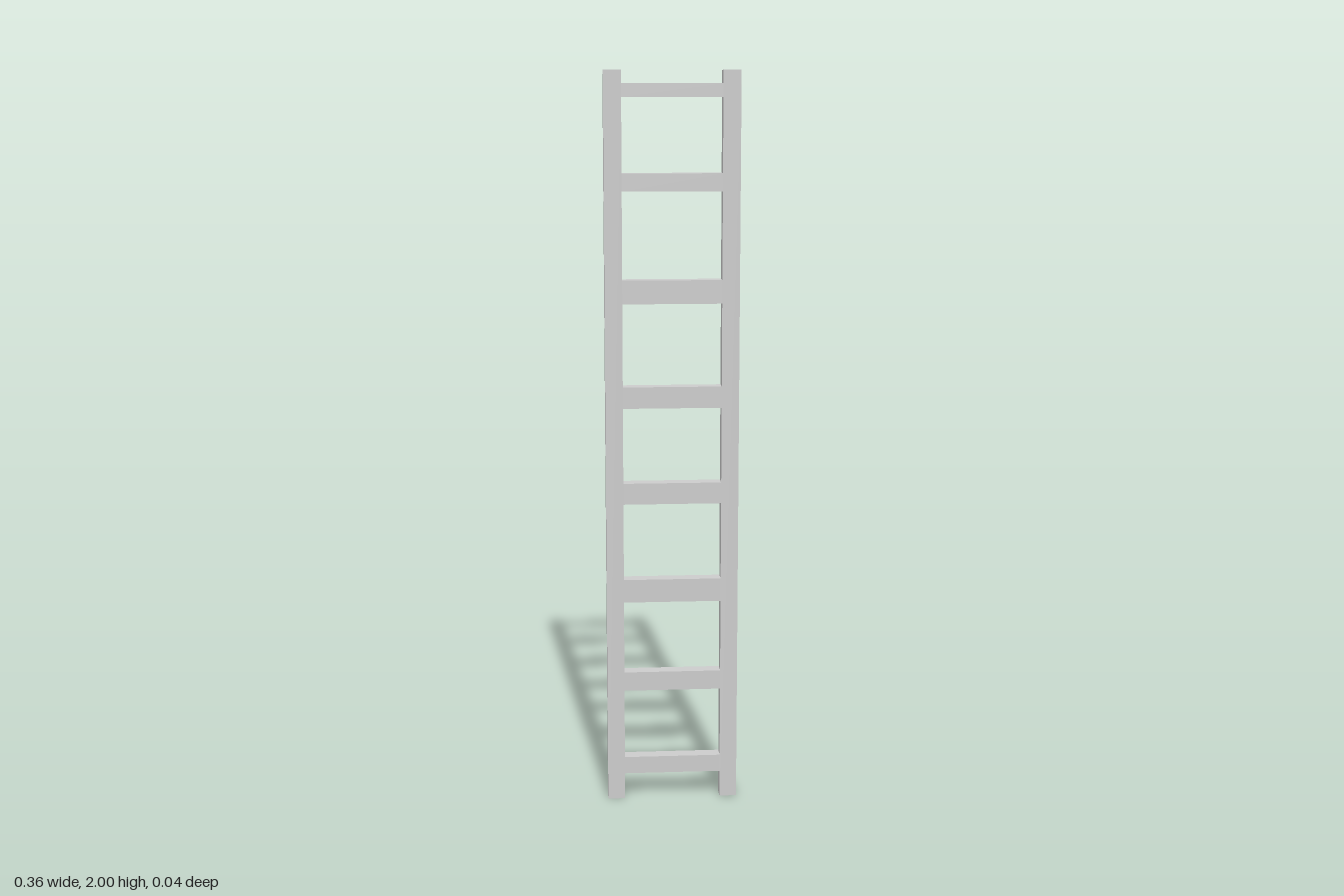
import * as THREE from 'three';

const HEIGHT = 2, DEPTH = 0.038;
const OUTER = 0.18, INNER = 0.133; // rail faces, measured from the centre line

// Bottom and top height of each rung
const RUNGS = [
  [0.074, 0.122], [0.317, 0.370], [0.571, 0.635], [0.847, 0.905],
  [1.111, 1.169], [1.392, 1.455], [1.688, 1.735], [1.931, 1.966],
];

export function createModel() {
  const ladder = new THREE.Group();
  ladder.name = 'ladder';
  const material = new THREE.MeshStandardMaterial({ color: 0xcccccc, flatShading: true });

  const addBar = (name, x0, x1, y0, y1) => {
    const bar = new THREE.Mesh(new THREE.BoxGeometry(x1 - x0, y1 - y0, DEPTH), material);
    bar.position.set((x0 + x1) / 2, (y0 + y1) / 2, 0);
    bar.name = name;
    ladder.add(bar);
  };

  // Side rails
  addBar('rightRail', -OUTER, -INNER, 0, HEIGHT);
  addBar('leftRail', INNER, OUTER, 0, HEIGHT);

  // Rungs, flush with the rails front and back
  RUNGS.forEach(([y0, y1], i) => addBar(`rung${i + 1}`, -INNER, INNER, y0, y1));

  return ladder;
}
